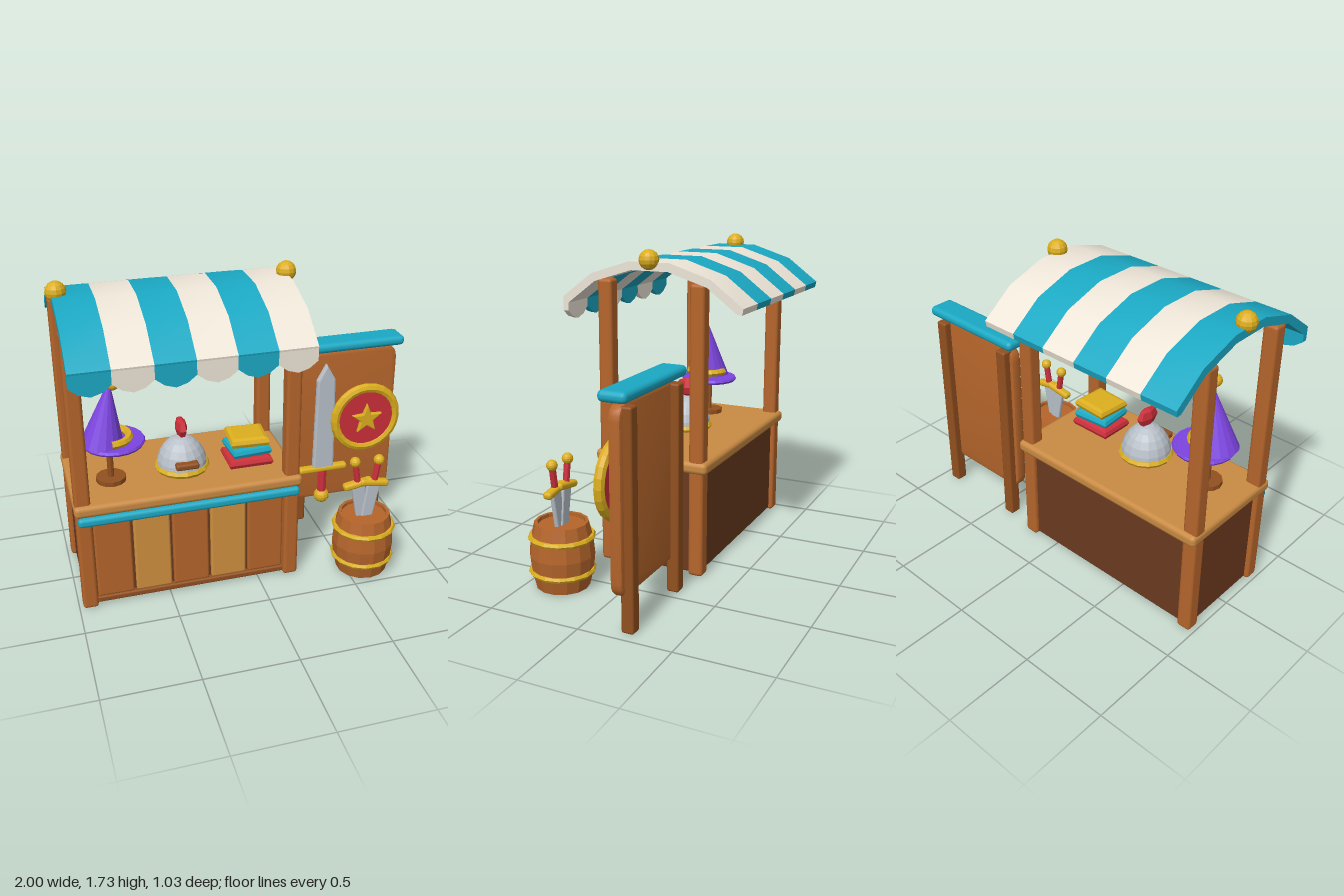
import * as THREE from 'three';
import { toCreasedNormals } from 'three/addons/utils/BufferGeometryUtils.js';
import { RoundedBoxGeometry } from 'three/addons/geometries/RoundedBoxGeometry.js';

const C = {
  wood: 0xb5652b, dark: 0x6b3a1e, mid: 0x92501f, light: 0xcf9040, counter: 0xc98a42, teal: 0x1ba9c4,
  cream: 0xeee6d8, gold: 0xdcae1e, red: 0xcc2f3a, purple: 0x7d45e0, metal: 0xb9c0c9,
};
const mats = {};
function mat(color, flat) {
  const key = color + (flat ? 'f' : 's');
  return (mats[key] ??= new THREE.MeshStandardMaterial({ color: C[color], flatShading: flat }));
}
function add(parent, name, geo, color, pos = [0, 0, 0], flat = true) {
  const m = new THREE.Mesh(geo, mat(color, flat));
  m.name = name;
  m.position.set(...pos);
  parent.add(m);
  return m;
}
function group(parent, name, pos = [0, 0, 0]) {
  const g = new THREE.Group();
  g.name = name;
  g.position.set(...pos);
  parent.add(g);
  return g;
}
// Rounded box given by its extents
function box(parent, name, color, [x0, x1], [y0, y1], [z0, z1], r = 0.012) {
  return add(parent, name, new RoundedBoxGeometry(x1 - x0, y1 - y0, z1 - z0, 2, r), color,
    [(x0 + x1) / 2, (y0 + y1) / 2, (z0 + z1) / 2], false);
}
const ball = (p, name, color, r, pos) => add(p, name, new THREE.SphereGeometry(r, 12, 8), color, pos);
const disc = (p, name, color, r, h, pos, n = 16) => add(p, name, new THREE.CylinderGeometry(r, r, h, n), color, pos);
function ring(p, name, r, tube, pos, n = 16, arc = Math.PI * 2) {
  const m = add(p, name, new THREE.TorusGeometry(r, tube, 6, n, arc), 'gold', pos);
  m.rotation.x = Math.PI / 2;
  return m;
}
const poly = (pts) => new THREE.Shape(pts.map(([x, y]) => new THREE.Vector2(x, y)));
function slab(shape, depth, bevel = 0) {
  const geo = new THREE.ExtrudeGeometry(shape, {
    depth: depth - 2 * bevel, bevelEnabled: bevel > 0, bevelSize: bevel, bevelOffset: -bevel,
    bevelThickness: bevel, bevelSegments: 2, curveSegments: 5,
  });
  return geo.translate(0, 0, bevel - depth / 2);
}

// Sword with its guard at the origin, blade along +y
function sword(parent, name, pos, { len, w, thick, guard, grip, pommel }) {
  const g = group(parent, name, pos);
  const h = w / 2;
  add(g, 'blade', slab(poly([[-h, 0], [h, 0], [h * 0.84, len - w * 0.75], [0, len], [-h * 0.84, len - w * 0.75]]), thick, thick * 0.3), 'metal');
  box(g, 'guard', 'gold', [-guard / 2, guard / 2], [-0.02, 0.02], [-0.025, 0.025], 0.017);
  disc(g, 'grip', 'red', pommel * 0.6, grip, [0, -grip / 2 - 0.01, 0], 8);
  ball(g, 'pommel', 'gold', pommel, [0, -grip - pommel * 0.8, 0]);
  return g;
}

function buildStall(root) {
  const stall = group(root, 'stall');
  for (const x of [-0.938, 0.184])
    for (const z of [-0.264, 0.264])
      box(stall, 'post', 'wood', [x - 0.041, x + 0.041], [0, 1.57], [z - 0.041, z + 0.041], 0.018);

  // Counter body, planks and top
  box(stall, 'counterBody', 'dark', [-0.955, 0.2], [0.01, 0.58], [-0.28, 0.25], 0.008);
  for (let i = 0; i < 5; i++) {
    const x = -0.794 + i * 0.209;
    box(stall, 'plank', i % 2 ? 'light' : 'wood', [x - 0.098, x + 0.098], [0.045, 0.53], [0.235, 0.275]);
  }
  box(stall, 'baseRail', 'mid', [-0.9, 0.15], [0.01, 0.045], [0.24, 0.28], 0.01);
  box(stall, 'counterTop', 'counter', [-0.985, 0.236], [0.575, 0.642], [-0.328, 0.328], 0.025);
  box(stall, 'counterTrim', 'teal', [-0.97, 0.222], [0.52, 0.572], [0.285, 0.33], 0.02);

  // Striped awning with scalloped front edge
  const awning = group(stall, 'awning');
  const top = [[-0.515, 1.463], [-0.34, 1.595], [-0.115, 1.667], [0.115, 1.667], [0.34, 1.595], [0.515, 1.463]];
  const under = [[0.508, 1.43], [0.482, 1.432], [0.32, 1.555], [0.105, 1.622], [-0.105, 1.622], [-0.32, 1.555], [-0.482, 1.432], [-0.508, 1.43]];
  const stripe = toCreasedNormals(slab(poly([...top, ...under].reverse()), 0.2), 0.5);
  const scallop = slab(poly([[-0.1, 0.02], [-0.1, -0.045], [-0.055, -0.08], [0, -0.097], [0.055, -0.08], [0.1, -0.045], [0.1, 0.02]].reverse()), 0.03);
  for (let i = 0; i < 6; i++) {
    const x = -0.876 + i * 0.2, color = i % 2 ? 'cream' : 'teal';
    add(awning, 'stripe', stripe, color, [x, 0, 0], false).rotation.y = Math.PI / 2;
    add(awning, 'scallop', scallop, color, [x, 1.433, 0.498]);
  }
  for (const x of [-0.95, 0.225]) ball(awning, 'finial', 'gold', 0.053, [x, 1.68, 0]);
}

function buildWares(root) {
  // Pointed hat on a stand
  const hat = group(root, 'hatStand', [-0.757, 0, 0.08]);
  disc(hat, 'standBase', 'mid', 0.08, 0.025, [0, 0.655, 0], 12);
  disc(hat, 'standPole', 'mid', 0.017, 0.21, [0, 0.76, 0], 8);
  disc(hat, 'brim', 'purple', 0.15, 0.022, [0.028, 0.867, -0.01], 20);
  const rim = ring(hat, 'brimEdge', 0.152, 0.014, [0.028, 0.867, -0.01], 20);
  rim.material = mat('purple', true);
  const cone = add(hat, 'hatCone', new THREE.ConeGeometry(0.115, 0.36, 16), 'purple', [-0.006, 1.048, 0.012]);
  cone.rotation.z = -0.16;
  ring(hat, 'hatBand', 0.105, 0.021, [0.002, 0.907, 0.014], 10, Math.PI).rotation.set(Math.PI / 2, 0, -Math.PI / 2);
  ball(hat, 'hatBobble', 'gold', 0.034, [0.034, 1.222, 0.056]);

  // Domed helmet
  const helmet = group(root, 'helmet', [-0.366, 0.66, 0.055]);
  add(helmet, 'dome', new THREE.SphereGeometry(0.138, 16, 6, 0, Math.PI * 2, 0, Math.PI / 2), 'metal').scale.y = 1.27;
  ring(helmet, 'helmetRim', 0.13, 0.02, [0, 0.006, 0]);
  box(helmet, 'visorSlot', 'mid', [-0.062, 0.062], [0.045, 0.08], [0.105, 0.155], 0.012);
  add(helmet, 'crest', new THREE.SphereGeometry(1, 6, 4), 'red', [0, 0.228, 0]).scale.set(0.033, 0.055, 0.075);

  // Stack of cushions with bevelled edges
  const stack = group(root, 'cushionStack', [-0.01, 0, 0.085]);
  [['red', 0.246, 0.676, 0], ['teal', 0.218, 0.739, 0.08], ['gold', 0.212, 0.797, -0.06]].forEach(([color, w, y, turn]) => {
    const a = w / 2, d = 0.1, geo = slab(poly([[-a, -d], [a, -d], [a, d], [-a, d]]), 0.056, 0.027);
    const c = add(stack, 'cushion', geo.rotateX(-Math.PI / 2), color, [0, y, 0]);
    c.rotation.y = turn;
  });
}

function buildDisplay(root) {
  const display = group(root, 'displayBoard');
  // Rounded board with cap and legs
  const s = new THREE.Shape(), a = 0.306, b = 0.47, r = 0.08;
  s.moveTo(-a + r, -b).lineTo(a - r, -b).quadraticCurveTo(a, -b, a, -b + r)
    .lineTo(a, b - r).quadraticCurveTo(a, b, a - r, b).lineTo(-a + r, b)
    .quadraticCurveTo(-a, b, -a, b - r).lineTo(-a, -b + r).quadraticCurveTo(-a, -b, -a + r, -b);
  add(display, 'board', toCreasedNormals(slab(s, 0.065, 0.015), 0.6), 'wood', [0.666, 0.65, -0.197], false);
  box(display, 'boardCap', 'teal', [0.333, 0.997], [1.13, 1.187], [-0.272, -0.122], 0.026);
  for (const x of [0.415, 0.91])
    box(display, 'boardLeg', 'mid', [x - 0.034, x + 0.034], [0, 1.11], [-0.272, -0.205], 0.012);

  // Round shield with star
  const shield = group(display, 'shield', [0.77, 0.71, -0.11]);
  disc(shield, 'shieldFace', 'red', 0.19, 0.04, [0, 0, -0.005], 24).rotation.x = Math.PI / 2;
  add(shield, 'shieldRim', new THREE.TorusGeometry(0.187, 0.028, 8, 24), 'gold');
  const star = [];
  for (let i = 0; i < 10; i++) {
    const t = Math.PI / 2 + i * Math.PI / 5, q = i % 2 ? 0.042 : 0.095;
    star.push([q * Math.cos(t), q * Math.sin(t)]);
  }
  add(shield, 'star', slab(poly(star), 0.03, 0.008), 'gold', [0, 0, 0.022]);

  sword(display, 'longSword', [0.527, 0.392, -0.137],
    { len: 0.673, w: 0.13, thick: 0.04, guard: 0.3, grip: 0.15, pommel: 0.046 });
}

function buildBarrel(root) {
  const barrel = group(root, 'barrel', [0.602, 0, 0.325]);
  const profile = [[0, 0], [0.142, 0], [0.163, 0.09], [0.172, 0.178], [0.163, 0.268], [0.142, 0.355], [0.125, 0.355], [0.125, 0.335], [0, 0.335]];
  add(barrel, 'barrelBody', new THREE.LatheGeometry(profile.map(([x, y]) => new THREE.Vector2(x, y)), 14), 'wood');
  for (const y of [0.09, 0.275]) ring(barrel, 'hoop', 0.162, 0.016, [0, y, 0], 14);
  // Pair of short swords, points down
  for (const side of [-1, 1]) {
    const s = sword(barrel, 'shortSword', [side * 0.046, 0.538, side * 0.004],
      { len: 0.3, w: 0.078, thick: 0.026, guard: 0.17, grip: 0.115, pommel: 0.03 });
    s.rotation.z = Math.PI - side * 0.16;
  }
}

export function createModel() {
  const root = new THREE.Group();
  root.name = 'marketStall';
  buildStall(root);
  buildWares(root);
  buildDisplay(root);
  buildBarrel(root);
  return root;
}
